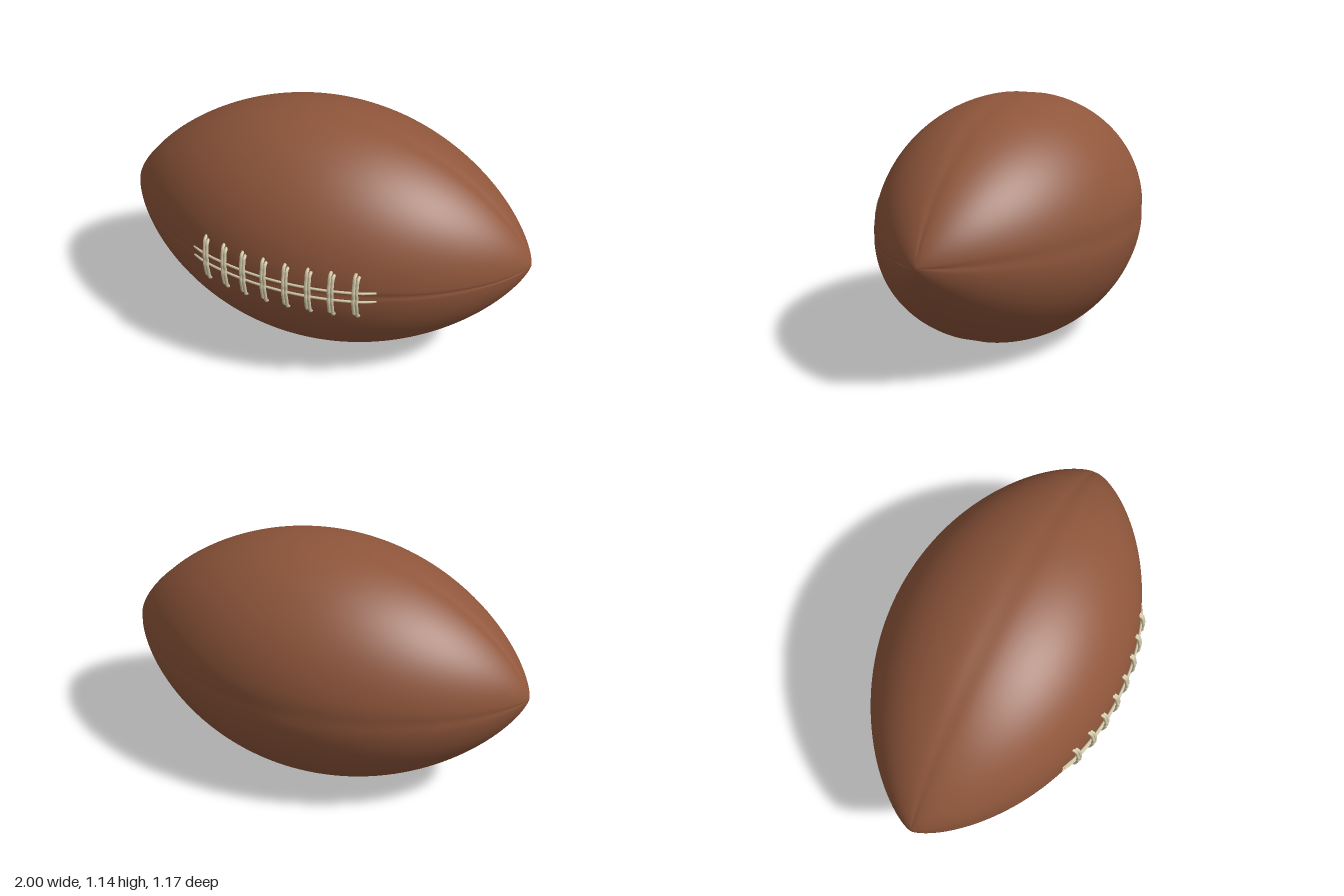
import * as THREE from 'three';
import { mergeVertices } from 'three/addons/utils/BufferGeometryUtils.js';

const CY = 0.58, CZ = -0.012, R = 0.575;

// ball radius at a distance x along its long axis
const radiusAt = (x) => R * Math.pow(Math.max(0, 1 - x * x), 0.72);

// point on the ball, dy above the front seam, raised by lift
function onBall(x, dy, lift) {
  const r = radiusAt(x), a = dy / r;
  return new THREE.Vector3(x, CY + (r + lift) * Math.sin(a), CZ + (r + lift) * Math.cos(a));
}

// ball: a turned profile with four shallow seams pressed in
function ballGeometry() {
  const profile = [];
  for (let i = 0; i <= 96; i++) {
    const x = -Math.cos((i / 96) * Math.PI);
    profile.push(new THREE.Vector2(i % 96 ? radiusAt(x) : 0, x));
  }
  let geo = new THREE.LatheGeometry(profile, 288);
  geo.rotateZ(-Math.PI / 2);
  geo.deleteAttribute('uv');
  geo.deleteAttribute('normal');
  geo = mergeVertices(geo, 1e-5);
  const p = geo.attributes.position;
  for (let i = 0; i < p.count; i++) {
    const x = p.getX(i), y = p.getY(i), z = p.getZ(i);
    const r = Math.hypot(y, z);
    if (r < 0.01) continue;
    const a = Math.atan2(y, z);
    const off = a - Math.round(a / (Math.PI / 2)) * (Math.PI / 2);
    const front = Math.abs(a) < 0.5;
    const width = front ? 0.02 : 0.09;
    const depth = front ? 0.005 : 0.004;
    const k = 1 - Math.min(1, r / 0.08) * (depth / r) * Math.exp(-((off / width) ** 2));
    p.setXYZ(i, x, y * k, z * k);
  }
  geo.computeVertexNormals();
  return geo;
}

export function createModel() {
  const group = new THREE.Group();
  const leather = new THREE.MeshStandardMaterial({ color: 0x8f563b });
  leather.name = 'brown leather';
  const cord = new THREE.MeshStandardMaterial({ color: 0xd2c8a8 });
  cord.name = 'cream lace';

  const ball = new THREE.Mesh(ballGeometry(), leather);
  ball.name = 'ball';
  ball.position.set(0, CY, CZ);
  group.add(ball);

  const laces = new THREE.Group();
  laces.name = 'laces';
  group.add(laces);
  const addCord = (name, points, segments, radius) => {
    const path = new THREE.CatmullRomCurve3(points);
    const mesh = new THREE.Mesh(new THREE.TubeGeometry(path, segments, radius, 8), cord);
    mesh.name = name;
    laces.add(mesh);
  };

  // two long cords beside the seam, sinking into the ball at both ends
  for (const side of [-1, 1]) {
    const pts = [];
    for (let i = -8; i <= 8; i++) {
      pts.push(onBall(i * 0.0555, side * 0.023, Math.abs(i) === 8 ? -0.002 : 0.006));
    }
    addCord('longLace', pts, 64, 0.006);
  }

  // eight cross laces, each a pair of strands of unequal reach
  for (const x of [0.052, 0.157, 0.258, 0.362].flatMap((v) => [-v, v])) {
    for (const side of [-1, 1]) {
      const top = side > 0 ? 0.102 : 0.115;
      const bottom = side > 0 ? 0.115 : 0.102;
      const sx = x + side * 0.007;
      const pts = [
        onBall(sx, top, -0.006), onBall(sx, top - 0.012, 0.01),
        onBall(sx, 0.06, 0.014), onBall(sx, 0.023, 0.018), onBall(sx, 0, 0.014),
        onBall(sx, -0.023, 0.018), onBall(sx, -0.06, 0.014),
        onBall(sx, 0.012 - bottom, 0.01), onBall(sx, -bottom, -0.006),
      ];
      addCord('crossLace', pts, 28, 0.008);
    }
  }
  return group;
}
